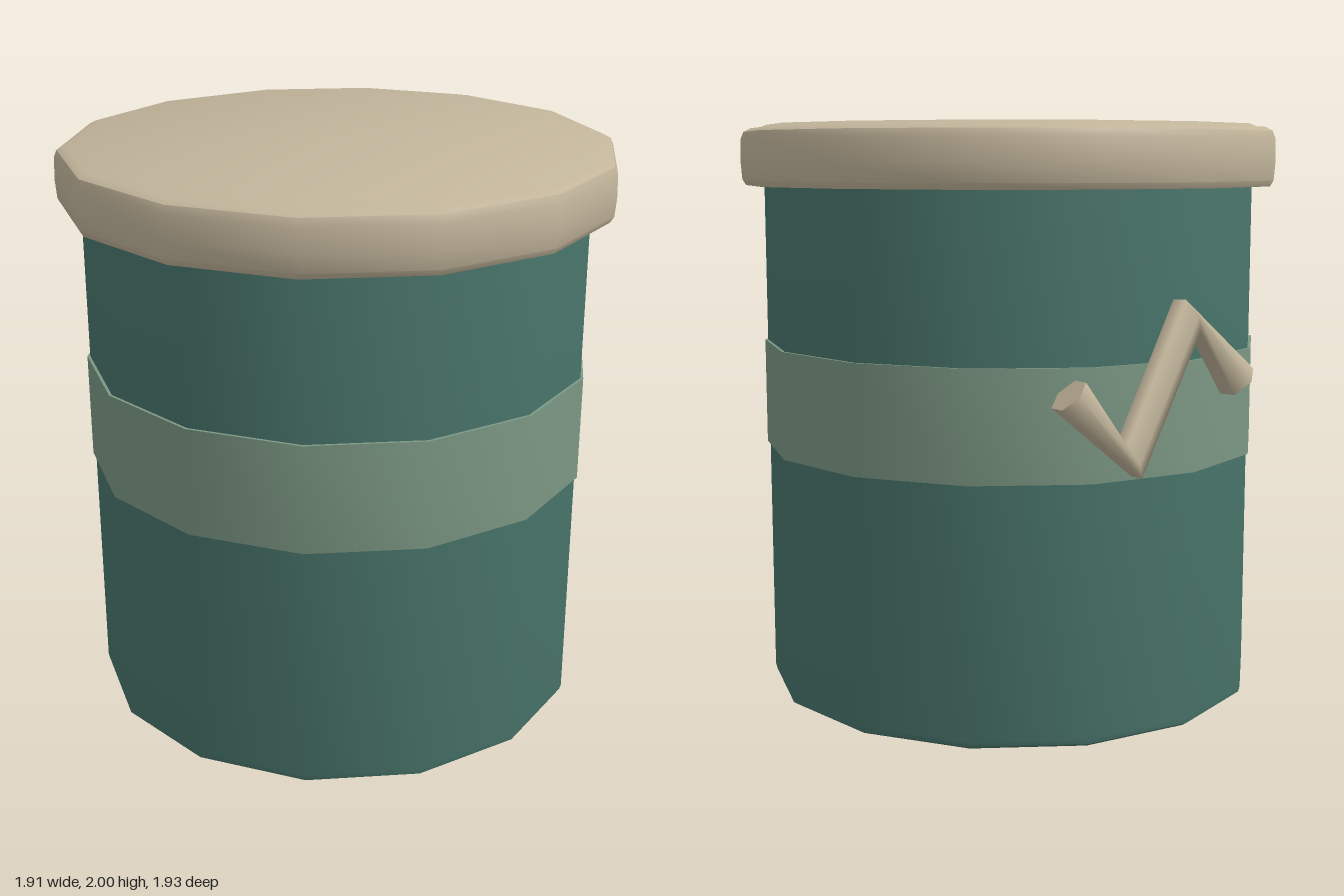
import * as THREE from 'three';
import { toCreasedNormals } from 'three/addons/utils/BufferGeometryUtils.js';

const SIDES = 14;
const CENTER_Z = 0.035;

const makeMaterial = (name, color) => {
  const m = new THREE.MeshStandardMaterial({ color });
  m.name = name;
  return m;
};

// Fourteen-sided turned part with a corner on the x axis
function turned(name, profile, material) {
  const points = profile.map(([r, y]) => new THREE.Vector2(r, y));
  const lathe = new THREE.LatheGeometry(points, SIDES, Math.PI / 2);
  const mesh = new THREE.Mesh(toCreasedNormals(lathe, 0.6), material);
  mesh.name = name;
  mesh.position.z = CENTER_Z;
  return mesh;
}

// Path with straight runs whose direction at a corner follows its neighbours
class ZigzagCurve extends THREE.Curve {
  constructor(points) {
    super();
    this.points = points;
  }
  getPoint(t, target = new THREE.Vector3()) {
    const last = this.points.length - 1;
    const i = Math.min(Math.floor(t * last + 1e-6), last - 1);
    return target.lerpVectors(this.points[i], this.points[i + 1], t * last - i);
  }
  getPointAt(u, target) {
    return this.getPoint(u, target);
  }
  getTangentAt(u, target = new THREE.Vector3()) {
    const last = this.points.length - 1;
    const i = Math.round(u * last);
    const a = this.points[Math.max(i - 1, 0)];
    const b = this.points[Math.min(i + 1, last)];
    return target.subVectors(b, a).normalize();
  }
}

export function createModel() {
  const green = makeMaterial('body green', 0x4a776d);
  const sage = makeMaterial('band sage', 0x7c9884);
  const beige = makeMaterial('lid beige', 0xc2b59b);

  const model = new THREE.Group();
  model.name = 'canister';

  model.add(
    turned('body', [[0, 0], [0.855, 0], [0.87, 0.01], [0.875, 0.03], [0.875, 1.85], [0, 1.85]], green),
    turned('band', [[0.865, 0.87], [0.885, 0.87], [0.885, 1.24], [0.865, 1.24]], sage),
    turned('lid', [
      [0.86, 1.79], [0.94, 1.79], [0.952, 1.81], [0.957, 1.87], [0.955, 1.95],
      [0.945, 1.975], [0.92, 1.988], [0.89, 1.99], [0.865, 2], [0, 2],
    ], beige),
  );

  // Zigzag on the back
  const zigzag = new THREE.Group();
  zigzag.name = 'zigzag';
  const path = new ZigzagCurve([
    new THREE.Vector3(0.32, 1.17, -0.885),
    new THREE.Vector3(0.107, 0.945, -0.9),
    new THREE.Vector3(-0.107, 1.395, -0.9),
    new THREE.Vector3(-0.32, 1.17, -0.885),
  ]);
  const radius = 0.067;
  const rod = new THREE.Mesh(new THREE.TubeGeometry(path, 3, radius, 6), beige);
  rod.name = 'zigzagRod';
  zigzag.add(rod);

  // Flat six-sided caps, corners pointing along z
  for (const end of [0, 1]) {
    const outward = path.getTangentAt(end).multiplyScalar(end ? 1 : -1);
    const cornerAxis = new THREE.Vector3(0, 0, 1).projectOnPlane(outward).normalize();
    const sideAxis = new THREE.Vector3().crossVectors(outward, cornerAxis);
    const cap = new THREE.Mesh(new THREE.CircleGeometry(radius, 6), beige);
    cap.name = 'zigzagCap';
    cap.quaternion.setFromRotationMatrix(new THREE.Matrix4().makeBasis(cornerAxis, sideAxis, outward));
    cap.position.copy(path.getPoint(end));
    zigzag.add(cap);
  }
  model.add(zigzag);

  return model;
}
